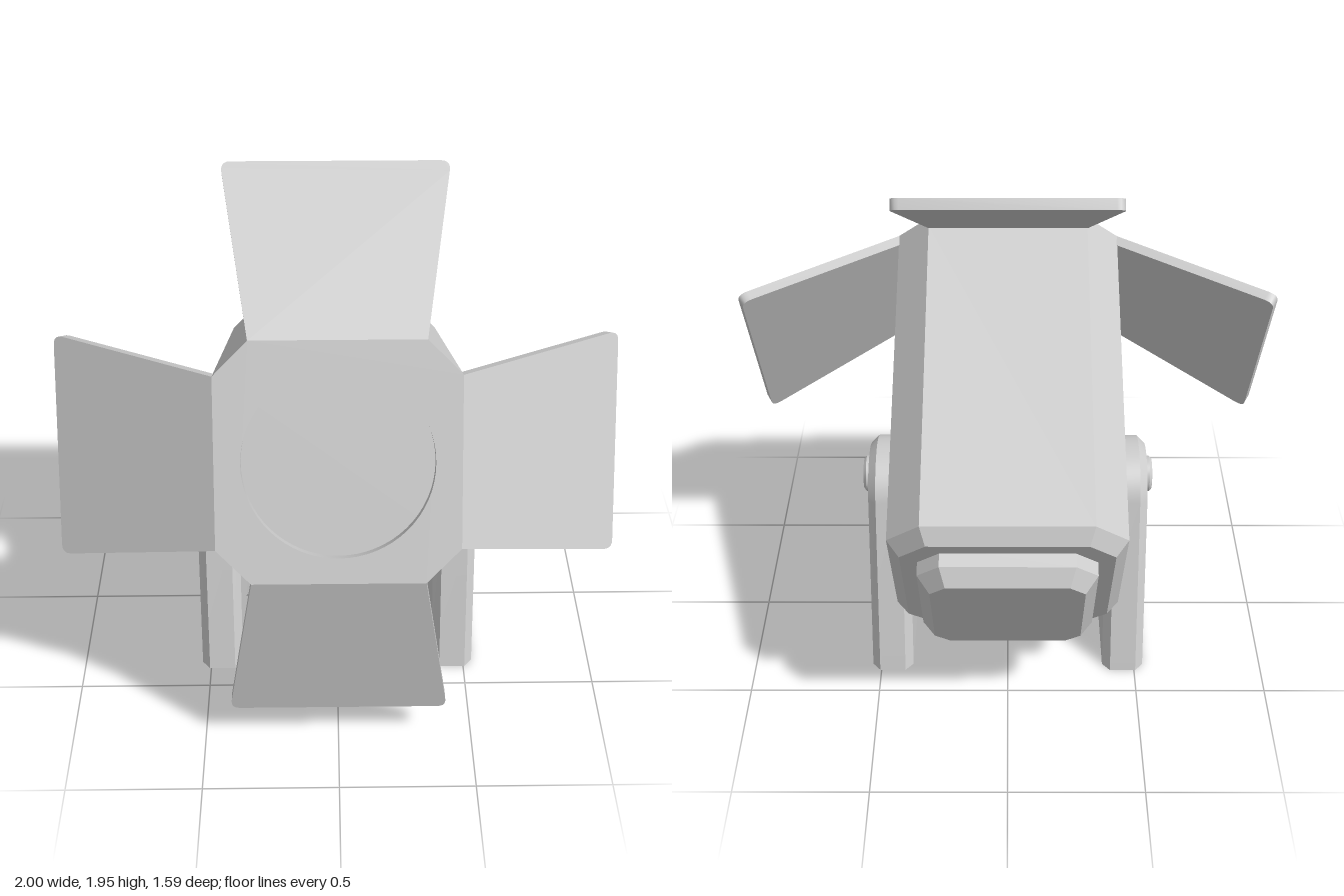
import * as THREE from 'three';
import { toCreasedNormals } from 'three/addons/utils/BufferGeometryUtils.js';

const material = new THREE.MeshStandardMaterial({ color: 0xcccccc });

function add(parent, name, geometry) {
  const mesh = new THREE.Mesh(geometry, material);
  mesh.name = name;
  parent.add(mesh);
  return mesh;
}

// Square of half size h with cut corners; s is half the length of a flat side
function octagon(h, s) {
  return [[h, -s], [h, s], [s, h], [-s, h], [-h, s], [-h, -s], [-s, -h], [s, -h]];
}

// Closed flat-shaded solid through octagon rings [z, h, s], ordered front to back
function loft(rings) {
  const pos = [];
  const loops = rings.map(([z, h, s]) => octagon(h, s).map(([x, y]) => [x, y, z]));
  const tri = (a, b, c) => pos.push(...a, ...b, ...c);
  const last = loops[loops.length - 1];
  for (let i = 0; i < 8; i++) {
    const j = (i + 1) % 8;
    tri([0, 0, rings[0][0]], loops[0][i], loops[0][j]);
    tri([0, 0, last[0][2]], last[j], last[i]);
    for (let k = 0; k + 1 < loops.length; k++) {
      const a = loops[k], b = loops[k + 1];
      tri(a[i], b[i], b[j]);
      tri(a[i], b[j], a[j]);
    }
  }
  const g = new THREE.BufferGeometry();
  g.setAttribute('position', new THREE.Float32BufferAttribute(pos, 3));
  g.computeVertexNormals();
  return g;
}

// Trapezoid door hinged along y = 0, with rounded outer corners
function flapGeometry() {
  const L = 0.67, t = 0.04, s = new THREE.Shape();
  s.moveTo(-0.3, 0);
  s.lineTo(0.3, 0);
  s.lineTo(0.395, L - 0.04);
  s.quadraticCurveTo(0.4, L, 0.365, L);
  s.lineTo(-0.365, L);
  s.quadraticCurveTo(-0.4, L, -0.395, L - 0.04);
  const g = new THREE.ExtrudeGeometry(s, { depth: t, bevelEnabled: false, curveSegments: 5 });
  return toCreasedNormals(g.translate(0, 0, -t), 0.5);
}

// Bevelled upright with a round top and a flat foot
function bracketGeometry() {
  const r = 0.2, cy = 0.615, a = 0.312, bevel = 0.03, s = new THREE.Shape();
  s.moveTo(-0.4, 0);
  s.lineTo(0.4, 0);
  s.absarc(0, cy, r, a, Math.PI - a, false);
  s.closePath();
  const g = new THREE.ExtrudeGeometry(s, {
    depth: 0.1, bevelThickness: bevel, bevelSize: bevel, bevelOffset: -bevel,
    bevelSegments: 1, curveSegments: 16,
  });
  const p = g.attributes.position;
  for (let i = 0; i < p.count; i++) if (p.getY(i) < 0.06) p.setY(i, 0);
  g.translate(0, 0, -0.05).rotateY(Math.PI / 2);
  return toCreasedNormals(g, 0.5);
}

export function createModel() {
  const model = new THREE.Group();
  model.name = 'stageLight';

  // Tilted lamp; its local origin is the centre of the front face
  const lamp = new THREE.Group();
  lamp.name = 'lamp';
  lamp.position.set(0, 1.205, 0.61);
  lamp.rotation.x = -0.464;
  model.add(lamp);

  // Front frame with the round lens opening
  const recess = 0.035;
  const frame = new THREE.Shape(octagon(0.42, 0.3).map(([x, y]) => new THREE.Vector2(x, y)));
  frame.holes.push(new THREE.Path().absarc(0, 0, 0.33, 0, Math.PI * 2, true));
  const frameGeo = new THREE.ExtrudeGeometry(frame, { depth: recess, bevelEnabled: false, curveSegments: 32 });
  add(lamp, 'lensFrame', toCreasedNormals(frameGeo.translate(0, 0, -recess), 0.5));

  // Housing, whose front cap is the lens, and the raised back plate
  add(lamp, 'housing', loft([[-recess, 0.42, 0.3], [-1.27, 0.42, 0.3], [-1.325, 0.375, 0.28]]));
  add(lamp, 'backPlate', loft([[-1.3, 0.315, 0.235], [-1.375, 0.315, 0.235], [-1.435, 0.27, 0.215]]));

  // Four doors around the front edge, folded back
  const flap = flapGeometry();
  ['topFlap', 'rightFlap', 'bottomFlap', 'leftFlap'].forEach((name, i) => {
    const hinge = new THREE.Group();
    hinge.name = name + 'Hinge';
    hinge.rotation.z = i * Math.PI / 2;
    lamp.add(hinge);
    const mesh = add(hinge, name, flap);
    mesh.position.y = 0.42;
    mesh.rotation.x = -Math.PI / 6;
  });

  // Side brackets and pivot bolts
  const bracket = bracketGeometry();
  const profile = [[0, 0], [0.07, 0], [0.07, 0.05], [0.06, 0.06], [0, 0.06]].map(([x, y]) => new THREE.Vector2(x, y));
  const bolt = toCreasedNormals(new THREE.LatheGeometry(profile, 32), 0.5);
  for (const [side, sx] of [['left', 1], ['right', -1]]) {
    add(model, side + 'Bracket', bracket).position.set(sx * 0.455, 0, 0.01);
    const b = add(model, side + 'PivotBolt', bolt);
    b.position.set(sx * 0.5, 0.677, 0.01);
    b.rotation.z = -sx * Math.PI / 2;
  }
  return model;
}
